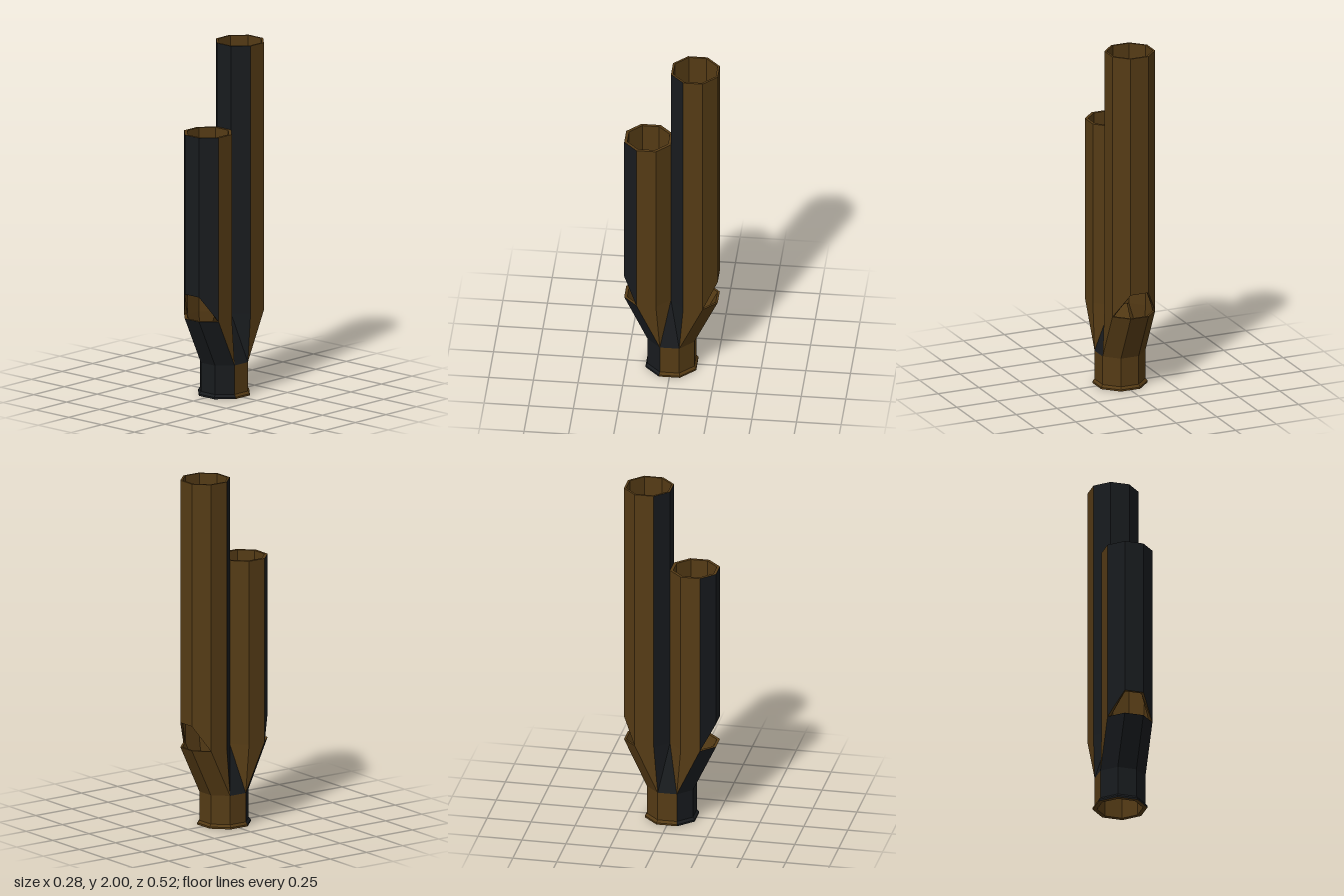
import * as THREE from 'three';

const OUT = 0.131, BORE = 0.119;          // apothems of the octagons
const NECK = 0.19, LIP = 0.465, MOUTH = 0.605; // heights

const brown = new THREE.MeshStandardMaterial({ color: 0x553b15, flatShading: true });
const dark = new THREE.MeshStandardMaterial({ color: 0x181b1e, flatShading: true });

// Collects flat panels; outer panels that face the front are dark, the rest brown.
class Panels {
  constructor() { this.lists = { brown: [], dark: [] }; }
  quad(corners, { inner = false, tone = null } = {}) {
    const p = inner ? [...corners].reverse() : corners;
    for (const [i, j, k] of [[0, 1, 2], [0, 2, 3]]) {
      const n = p[j].clone().sub(p[i]).cross(p[k].clone().sub(p[i]));
      if (n.length() < 1e-8) continue;
      n.normalize();
      const list = this.lists[tone ?? (!inner && n.z > 0.3 ? 'dark' : 'brown')];
      for (const v of [p[i], p[j], p[k]]) list.push(v.x, v.y, v.z);
    }
  }
  // Band between two rings, for the given sides of the octagon.
  band(low, high, opts, sides = [0, 1, 2, 3, 4, 5, 6, 7]) {
    for (const k of sides) {
      const m = (k + 1) % 8;
      this.quad([low[k], low[m], high[m], high[k]], opts);
    }
  }
  build(name) {
    const group = new THREE.Group();
    group.name = name;
    for (const [key, material] of [['brown', brown], ['dark', dark]]) {
      if (!this.lists[key].length) continue;
      const g = new THREE.BufferGeometry();
      g.setAttribute('position', new THREE.Float32BufferAttribute(this.lists[key], 3));
      g.computeVertexNormals();
      const mesh = new THREE.Mesh(g, material);
      mesh.name = name + (key === 'dark' ? 'FrontPanels' : 'Panels');
      group.add(mesh);
    }
    return group;
  }
}

// Octagon ring; corner 0 lies just beside the outward side. s = 1 front, -1 back.
function ring(apothem, y, offset = 0, s = 1) {
  const r = apothem / Math.cos(Math.PI / 8);
  return Array.from({ length: 8 }, (_, k) => {
    const a = Math.PI / 8 + k * Math.PI / 4;
    const h = typeof y === 'function' ? y(k) : y;
    return new THREE.Vector3(s * r * Math.sin(a), h, s * (offset + r * Math.cos(a)));
  });
}

// Upright pipe with a slanted mouth cut into its outward side.
function makePipe(name, top, bore, s) {
  const p = new Panels();
  const cut = k => (k === 0 || k === 7 ? MOUTH : LIP);
  const lowOut = ring(OUT, cut, OUT, s), lowIn = ring(bore, cut, OUT, s);
  const topOut = ring(OUT, top, OUT, s), topIn = ring(bore, top, OUT, s);
  p.band(lowOut, topOut);
  p.band(lowIn, topIn, { inner: true });
  p.band(topOut, topIn, { tone: 'brown' });
  p.band(lowOut, lowIn, { inner: true }, [6, 7, 0]);
  return p.build(name);
}

// Flared branch from the neck out to a pipe.
function makeBranch(name, bore, s) {
  const p = new Panels();
  const skins = [[OUT, OUT, false], [bore, BORE, true]];
  const tops = [];
  for (const [upper, lower, inner] of skins) {
    const top = ring(upper, LIP, OUT, s), base = ring(lower, NECK, 0, s);
    tops.push(top);
    p.band(base, top, { inner }, [6, 7, 0]);
    p.quad([base[1], base[1], top[2], top[1]], { inner });
    p.quad([base[1], base[1], top[3], top[2]], { inner });
    p.quad([base[6], base[6], top[6], top[5]], { inner });
    p.quad([base[6], base[6], top[5], top[4]], { inner });
  }
  p.band(tops[0], tops[1], { tone: 'brown' }, [6, 7, 0]);
  return p.build(name);
}

// Webs that close the fork between the two branches.
function makeCrotch(boreFront, boreBack) {
  const p = new Panels();
  for (const [front, back, low, inner] of [[OUT, OUT, OUT, false], [boreFront, boreBack, BORE, true]]) {
    const f = ring(front, LIP, OUT, 1), b = ring(back, LIP, OUT, -1), n = ring(low, NECK);
    const tone = inner ? 'brown' : 'dark';
    p.quad([n[1], n[2], b[4], f[3]], { inner, tone });
    p.quad([n[5], n[6], f[4], b[3]], { inner, tone });
    // underside of the wall between the pipes
    if (inner) p.quad([f[4], f[3], b[4], b[3]], { inner, tone });
  }
  return p.build('forkWeb');
}

// Octagonal neck with a small collar around its open foot.
function makeNeck() {
  const p = new Panels();
  const rings = [ring(0.142, 0), ring(0.142, 0.01), ring(OUT, 0.024), ring(OUT, NECK)];
  for (let i = 0; i < 3; i++) p.band(rings[i], rings[i + 1]);
  const foot = ring(BORE, 0);
  p.band(foot, ring(BORE, NECK), { inner: true });
  p.band(rings[0], foot, { inner: true });
  return p.build('neck');
}

export function createModel() {
  const model = new THREE.Group();
  model.name = 'twinPipe';
  const frontBore = 0.114;
  model.add(
    makePipe('shortPipe', 1.52, frontBore, 1),
    makePipe('tallPipe', 2, BORE, -1),
    makeBranch('frontBranch', frontBore, 1),
    makeBranch('backBranch', BORE, -1),
    makeCrotch(frontBore, BORE),
    makeNeck(),
  );
  return model;
}
